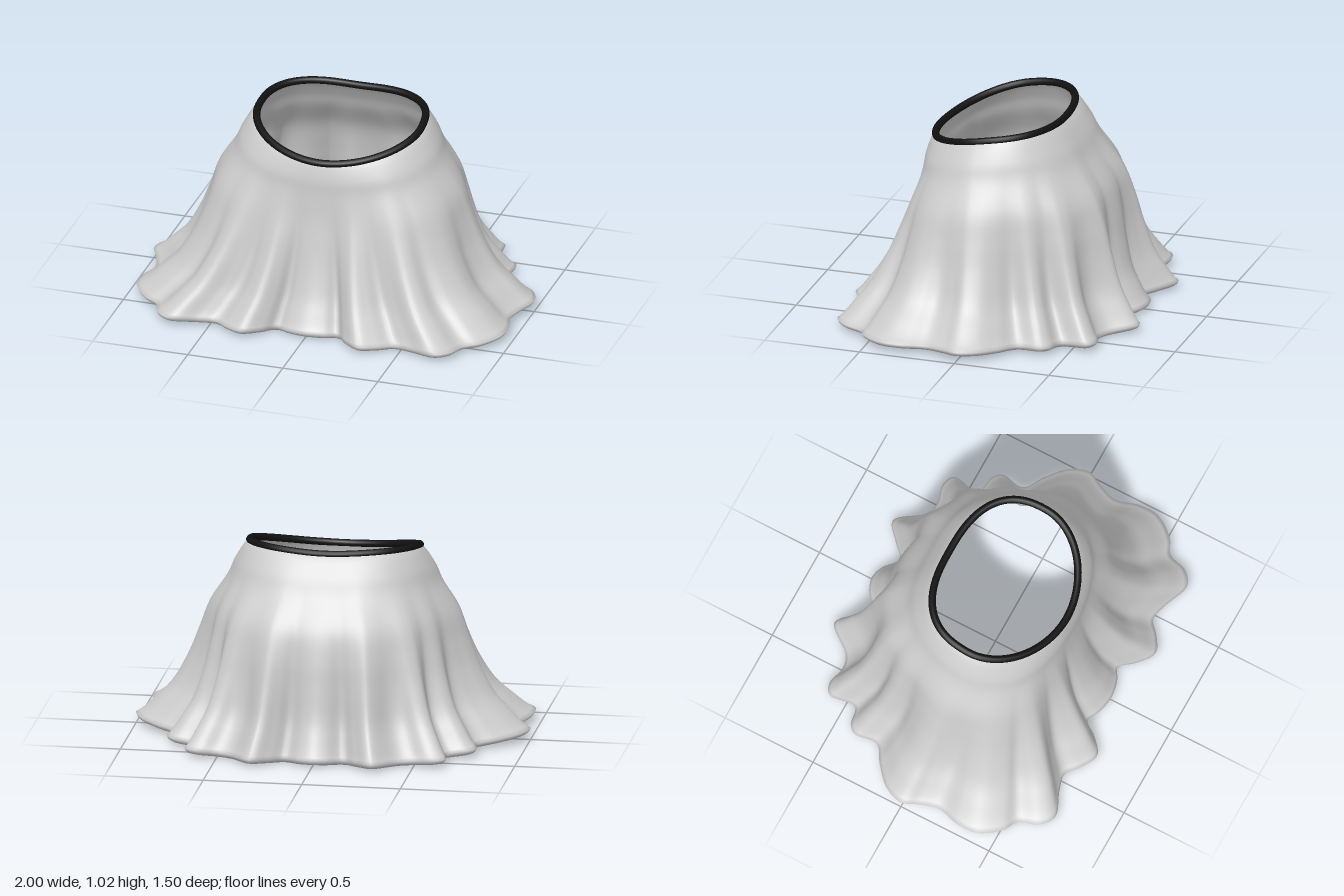
import * as THREE from 'three';

const COLS = 360, ROWS = 40;

// Right half of the ruffled hem outline, front to back, as x, z
const HEM = [
  [0, .66], [.1, .64], [.16, .61], [.22, .68], [.31, .745], [.4, .7], [.47, .645], [.56, .665],
  [.7, .715], [.77, .665], [.81, .56], [.88, .52], [.96, .41], [.965, .3], [.935, .18], [.965, .08],
  [1, 0], [.965, -.1], [.87, -.19], [.775, -.26], [.785, -.38], [.75, -.42], [.65, -.45],
  [.66, -.59], [.6, -.62], [.5, -.6], [.43, -.62], [.31, -.75], [.22, -.685], [.15, -.625],
  [.07, -.68], [0, -.7],
];

// Flare from waist (0) to hem (1), at the front, side and back
const FLARE = new THREE.CatmullRomCurve3([
  [0, 0, 0], [.1, .13, .19], [.13, .21, .32], [.2, .37, .56], [.31, .45, .66],
  [.44, .53, .71], [.61, .65, .77], [.78, .8, .86], [1, 1, 1],
].map(p => new THREE.Vector3(...p)), false, 'catmullrom', .5);

// Drop down the skirt, and how deep the folds are there
const DROP = new THREE.SplineCurve([
  [0, 0], [.1, 0], [.2, .02], [.35, .12], [.5, .32], [.65, .56], [.8, .8], [.9, .92], [1, 1],
].map(p => new THREE.Vector2(...p)));

// Waist: round in front, squarer at the back, higher at the back with a slight dip
function waistPoint(angle) {
  const s = Math.abs(Math.sin(angle)), c = Math.cos(angle);
  const n = c > 0 ? 1.9 : 2.5;
  const r = ((s / .435) ** n + (Math.abs(c) / (c > 0 ? .343 : .338)) ** n) ** (-1 / n);
  const x = r * Math.sin(angle), z = .07 + r * c;
  const k = 1 - (.415 - z) / .69;
  const dip = c < 0 ? .012 * c ** 6 : 0;
  return new THREE.Vector3(x, .872 + .138 * (1 - k * k) - dip, z);
}

// Running average around a closed outline
function smooth(points, reach) {
  return points.map((_, j) => {
    const sum = new THREE.Vector2();
    for (let k = -reach; k <= reach; k++) sum.add(points[(j + k + COLS) % COLS]);
    return sum.divideScalar(2 * reach + 1);
  });
}

// Outward direction of a closed outline at one column
function outward(points, j) {
  const t = points[(j + 1) % COLS].clone().sub(points[(j + COLS - 1) % COLS]);
  return new THREE.Vector2(-t.y, t.x).normalize();
}

function skirtGeometry() {
  const mirrored = HEM.slice(1, -1).reverse().map(([x, z]) => [-x, z]);
  const outline = new THREE.CatmullRomCurve3(
    [...HEM, ...mirrored].map(([x, z]) => new THREE.Vector3(x, 0, z)), true);
  outline.arcLengthDivisions = 1500;
  const hem = outline.getSpacedPoints(COLS).slice(0, COLS).map(p => new THREE.Vector2(p.x, p.z));
  const base = smooth(smooth(hem, 13), 9);

  // The hem rises a little at the sides and on the crests of the folds
  const columns = hem.map((p, j) => {
    const angle = Math.atan2(base[j].x, base[j].y);
    const ripple = p.clone().sub(base[j]);
    const lift = THREE.MathUtils.clamp(.15 * ripple.dot(outward(base, j)), -.01, .012);
    return { angle, ripple, waist: waistPoint(angle), base: base[j], hemY: .04 + lift + .018 * Math.sin(angle) ** 6 };
  });

  // One ring of the cloth at t, moved inward by inset and down by sink
  const positions = [];
  function addRing(t, inset, sink) {
    const flare = FLARE.getPoint(t), drop = DROP.getPoint(t);
    const ring = columns.map(({ angle, ripple, waist, base }) => {
      const s = Math.sin(angle) ** 2, c = Math.cos(angle);
      const spread = s * flare.y + (1 - s) * (c > 0 ? flare.x : flare.z);
      return new THREE.Vector2(waist.x, waist.z).lerp(base, spread).addScaledVector(ripple, drop.y);
    });
    ring.forEach((p, j) => {
      const q = p.clone().addScaledVector(outward(ring, j), -inset);
      const { waist, hemY } = columns[j];
      positions.push(q.x, THREE.MathUtils.lerp(waist.y, hemY, drop.x) - sink, q.y);
    });
  }

  // Outside, rounded hem, then the lining back up
  for (let i = 0; i <= ROWS; i++) addRing(i / ROWS, 0, 0);
  addRing(1, .008, .017);
  addRing(1, .019, .025);
  addRing(1, .026, .017);
  for (let i = ROWS; i >= 0; i--) addRing(i / ROWS, .026, 0);

  const index = [], rings = positions.length / 3 / COLS;
  for (let i = 0; i < rings - 1; i++) {
    for (let j = 0; j < COLS; j++) {
      const k = (j + 1) % COLS;
      const a = i * COLS + j, b = a + COLS, c = (i + 1) * COLS + k, d = i * COLS + k;
      index.push(a, b, c, a, c, d);
    }
  }
  const geometry = new THREE.BufferGeometry();
  geometry.setAttribute('position', new THREE.Float32BufferAttribute(positions, 3));
  geometry.setIndex(index);
  geometry.computeVertexNormals();
  return geometry;
}

// Dark rolled edge around the waist opening
function waistbandGeometry() {
  const points = [];
  for (let i = 0; i < 72; i++) {
    const p = waistPoint(i / 72 * Math.PI * 2);
    const inward = new THREE.Vector3(p.x, 0, p.z - .07).normalize();
    points.push(p.addScaledVector(inward, -.008));
  }
  return new THREE.TubeGeometry(new THREE.CatmullRomCurve3(points, true), 180, .019, 12, true);
}

export function createModel() {
  const model = new THREE.Group();
  model.name = 'skirt';

  const cloth = new THREE.Mesh(skirtGeometry(),
    new THREE.MeshStandardMaterial({ color: 0xcccccc, side: THREE.DoubleSide }));
  cloth.name = 'pleatedCloth';

  const band = new THREE.Mesh(waistbandGeometry(), new THREE.MeshStandardMaterial({ color: 0x111111 }));
  band.name = 'waistband';

  model.add(cloth, band);
  return model;
}
